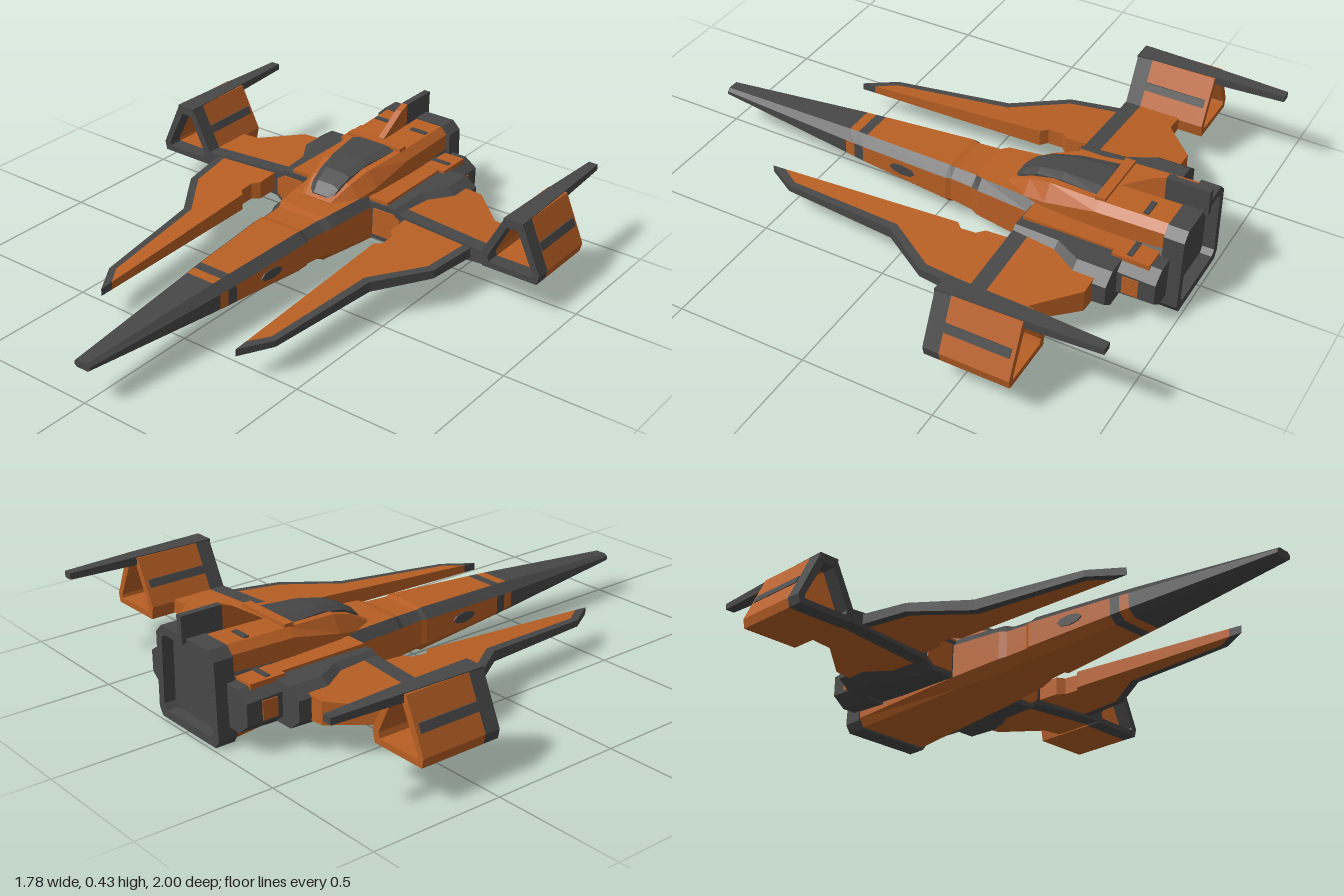
import * as THREE from 'three';

const mat = (name, hex) => new THREE.MeshStandardMaterial({ name, color: hex });

export function createModel() {
  const orange = mat('orange paint', 0xb85f24);
  const dark = mat('dark grey', 0x474747);
  const mats = [orange, dark];
  const root = new THREE.Group();

  const flat = (geo) => {
    const g = geo.index ? geo.toNonIndexed() : geo;
    g.computeVertexNormals();
    return g;
  };
  const add = (name, geo, material) => {
    const m = new THREE.Mesh(flat(geo), material);
    m.name = name;
    root.add(m);
  };
  // Adds a part and its mirror image across x = 0
  const addPair = (name, geo, material) => {
    const g = flat(geo);
    const r = g.clone();
    const p = r.attributes.position;
    for (let i = 0; i < p.count; i += 3) {
      const v = [0, 2, 1].map((k) => new THREE.Vector3().fromBufferAttribute(p, i + k));
      v.forEach((q, k) => p.setXYZ(i + k, -q.x, q.y, q.z));
    }
    add(name + 'Left', g, material);
    add(name + 'Right', r, material);
  };

  // Skin over convex rings listed front to back, each counterclockwise seen from +z
  const loft = (rings, pick = () => 0) => {
    const pos = [];
    const geo = new THREE.BufferGeometry();
    const n = rings[0].length;
    const put = (m, ...pts) => {
      geo.addGroup(pos.length / 3, pts.length, m);
      pts.forEach((q) => pos.push(...q));
    };
    for (let i = 0; i + 1 < rings.length; i++) {
      for (let j = 0; j < n; j++) {
        const k = (j + 1) % n;
        const [a, b, c, d] = [rings[i][j], rings[i][k], rings[i + 1][j], rings[i + 1][k]];
        put(pick(i, j), a, c, b, b, c, d);
      }
    }
    const f = rings[0], l = rings[rings.length - 1];
    for (let j = 1; j + 1 < n; j++) {
      put(pick(0, j), f[0], f[j], f[j + 1]);
      put(pick(rings.length - 2, j), l[0], l[j + 1], l[j]);
    }
    geo.setAttribute('position', new THREE.Float32BufferAttribute(pos, 3));
    return geo;
  };
  // Right half of a section, bottom to top, mirrored into a full ring
  const ring = (z, half) => [
    ...half.map(([x, y]) => [x, y, z]),
    ...half.slice().reverse().map(([x, y]) => [-x, y, z]),
  ];
  const shape = (pts) => new THREE.Shape(pts.map(([x, y]) => new THREE.Vector2(x, y)));
  // Outline in x,y pushed from z0 to z1
  const prism = (pts, z0, z1, hole) => {
    const s = shape(pts);
    if (hole) s.holes.push(new THREE.Path(hole.map(([x, y]) => new THREE.Vector2(x, y))));
    return new THREE.ExtrudeGeometry(s, { depth: z1 - z0, bevelEnabled: false }).translate(0, 0, z0);
  };
  // Plan outline in x,z with heights given by rules
  const slab = (pts, bottom, top) => {
    const g = new THREE.ExtrudeGeometry(shape(pts.map(([x, z]) => [x, -z])), { depth: 1, bevelEnabled: false });
    g.rotateX(-Math.PI / 2);
    const p = g.attributes.position;
    for (let i = 0; i < p.count; i++) {
      const x = p.getX(i), z = p.getZ(i);
      p.setY(i, p.getY(i) > 0.5 ? top(x, z) : bottom(x, z));
    }
    return g;
  };
  const box = (x0, x1, y0, y1, z0, z1) => new THREE.BoxGeometry(x1 - x0, y1 - y0, z1 - z0)
    .translate((x0 + x1) / 2, (y0 + y1) / 2, (z0 + z1) / 2);
  const line = (a, va, b, vb) => (t) => va + ((vb - va) * (t - a)) / (b - a);

  // Main hull: z, half widths (bottom, middle, top), heights (bottom to top)
  const hull = [
    [1, 0.025, 0.035, 0.022, 0.135, 0.143, 0.155, 0.165],
    [0.41, 0.065, 0.092, 0.06, 0.09, 0.115, 0.172, 0.205],
    [0.37, 0.067, 0.096, 0.062, 0.087, 0.113, 0.174, 0.207],
    [0.33, 0.07, 0.1, 0.065, 0.085, 0.11, 0.176, 0.209],
    [-0.04, 0.09, 0.125, 0.088, 0.06, 0.095, 0.19, 0.225],
    [-0.06, 0.085, 0.118, 0.085, 0.066, 0.095, 0.19, 0.22],
    [-0.15, 0.09, 0.126, 0.09, 0.06, 0.09, 0.19, 0.222],
    [-0.18, 0.1, 0.138, 0.105, 0.048, 0.085, 0.195, 0.23],
    [-0.4, 0.125, 0.16, 0.13, 0.037, 0.07, 0.2, 0.238],
    [-0.92, 0.155, 0.175, 0.14, 0.008, 0.04, 0.22, 0.28],
  ].map(([z, wb, wm, wt, yb, yl, yu, yt]) => ring(z, [[wb, yb], [wm, yl], [wm, yu], [wt, yt]]));
  add('hull', loft(hull, (i, j) => (i === 0 || i === 2 || j === 2 || j === 4 ? 1 : 0)), mats);

  // Raised deck around and behind the cockpit
  const deck = [
    [-0.27, 0.08, 0.06, 0.228, 0.236], [-0.36, 0.125, 0.085, 0.235, 0.285],
    [-0.45, 0.145, 0.105, 0.255, 0.315], [-0.65, 0.155, 0.125, 0.3, 0.33], [-0.92, 0.158, 0.13, 0.31, 0.338],
  ].map(([z, w, wt, ys, yt]) => ring(z, [[w, 0.19], [w, ys], [wt, yt]]));
  add('upperDeck', loft(deck), mats);
  const glass = [
    [-0.285, 0.05, 0.23, 0.248], [-0.32, 0.06, 0.25, 0.285], [-0.38, 0.068, 0.28, 0.314],
    [-0.48, 0.08, 0.3, 0.335], [-0.63, 0.1, 0.31, 0.34],
  ].map(([z, w, yb, yt]) => ring(z, [[w, yb - 0.02], [w, yt - 0.012], [w * 0.6, yt]]));
  add('canopy', loft(glass, () => 1), mats);
  add('canopyRearFrame', box(-0.125, 0.125, 0.31, 0.342, -0.67, -0.632), orange);

  // Oval hatch on each flank of the nose
  const hatch = new THREE.CylinderGeometry(0.5, 0.5, 0.008, 8);
  hatch.scale(0.04, 1, 0.11).rotateZ(Math.PI / 2).rotateY(-0.068).translate(0.113, 0.145, 0.15);
  addPair('flankHatch', hatch, dark);

  // Exhaust: dark collar with a recessed back
  const full = (half) => [...half, ...half.slice().reverse().map(([x, y]) => [-x, y])];
  add('exhaustCollar', prism(
    full([[0.16, 0], [0.18, 0.03], [0.172, 0.31], [0.14, 0.342]]), -0.985, -0.91,
    full([[0.13, 0.03], [0.148, 0.05], [0.14, 0.295], [0.12, 0.312]])), dark);
  add('exhaustPlate', prism(full([[0.15, 0.02], [0.15, 0.32]]), -0.94, -0.92), dark);

  // Tail fin
  const finPiece = (pts) => prism(pts, -0.013, 0.013).rotateY(Math.PI / 2);
  add('tailFinFront', finPiece([[0.66, 0.32], [0.84, 0.32], [0.84, 0.425], [0.8, 0.41]]), orange);
  add('tailFinRear', finPiece([[0.84, 0.325], [1, 0.325], [1, 0.425], [0.84, 0.425]]), dark);

  // Engine housings beside the hull
  const side = (z, x, yb, yt) => [
    [0.12, yb], [x - 0.05, yb], [x, yb + 0.04], [x, yt - 0.035], [x - 0.05, yt], [0.12, yt],
  ].map(([a, b]) => [a, b, z]);
  addPair('engineHousing', loft([
    side(-0.4, 0.31, 0.07, 0.22), side(-0.57, 0.32, 0.07, 0.225),
    side(-0.67, 0.375, 0.07, 0.225), side(-0.8, 0.375, 0.075, 0.225),
  ], () => 1), mats);
  addPair('engineRear', loft([side(-0.78, 0.285, 0.065, 0.23), side(-0.94, 0.285, 0.07, 0.225)], () => 1), mats);
  addPair('intakeFace', prism([[0.17, 0.09], [0.26, 0.09], [0.29, 0.115], [0.29, 0.18], [0.26, 0.2], [0.17, 0.2]], -0.4, -0.394), orange);
  addPair('engineTopPanel', box(0.14, 0.225, 0.2, 0.234, -0.76, -0.41), orange);
  addPair('engineRearTopPanel', box(0.14, 0.25, 0.2, 0.236, -0.9, -0.76), orange);
  addPair('engineStripe', box(0.15, 0.235, 0.235, 0.24, -0.83, -0.81), dark);
  addPair('deckStripe', box(0.05, 0.12, 0.335, 0.341, -0.83, -0.81), dark);
  addPair('engineSidePanel', box(0.284, 0.289, 0.115, 0.185, -0.88, -0.82), orange);

  // Main wings with a dark leading edge
  const wingTop = line(0.3, 0.205, 0.66, 0.18), wingBottom = line(0.3, 0.1, 0.66, 0.13);
  addPair('wing', slab([[0.25, -0.46], [0.66, -0.46], [0.66, -0.62], [0.57, -0.62], [0.43, -0.75], [0.25, -0.75]], wingBottom, wingTop), orange);
  addPair('wingLeadingEdge', slab([[0.25, -0.4], [0.66, -0.4], [0.66, -0.46], [0.25, -0.46]], wingBottom, wingTop), dark);

  // Forward blades with a dark outer edge
  const topLine = line(-0.4, 0.195, 0.59, 0.128), bottomLine = line(-0.4, 0.12, 0.59, 0.1);
  const bladeTop = (x, z) => topLine(z) - (x - 0.31) * 0.06;
  const bladeBottom = (x, z) => bottomLine(z) + (x - 0.31) * 0.06;
  const rim = [[0.57, -0.4], [0.545, -0.21], [0.408, -0.01], [0.36, 0.46], [0.31, 0.535]];
  const outer = [[0.31, 0.59], [0.385, 0.47], [0.438, 0], [0.575, -0.2], [0.602, -0.4]];
  const inner = [[0.31, -0.2], [0.335, -0.225], [0.335, -0.285], [0.31, -0.31], [0.31, -0.4]];
  addPair('blade', slab([...rim, ...inner], bladeBottom, bladeTop), orange);
  addPair('bladeEdge', slab([...rim, ...outer], bladeBottom, bladeTop), dark);

  // Wingtip pods: open trapezoid tubes
  const podOuter = [[0.655, 0.125], [0.882, 0.125], [0.89, 0.16], [0.808, 0.345], [0.732, 0.345], [0.645, 0.175]];
  const podHole = [[0.68, 0.148], [0.86, 0.148], [0.864, 0.16], [0.79, 0.312], [0.745, 0.312], [0.674, 0.168]];
  addPair('podFront', prism(podOuter, -0.46, -0.4, podHole), dark);
  addPair('podBody', prism(podOuter, -0.715, -0.46, podHole), orange);

  // Dark stripes on the pod's sloping walls
  const stripe = (a, b, t0, t1, out) => {
    const at = (t, o) => [a[0] + (b[0] - a[0]) * t + o, a[1] + (b[1] - a[1]) * t];
    return prism([at(t0, 0), at(t0, out), at(t1, out), at(t1, 0)], -0.7, -0.46);
  };
  addPair('podOuterStripe', stripe(podOuter[2], podOuter[3], 0.38, 0.54, 0.004), dark);
  addPair('podInnerStripe', stripe(podOuter[5], podOuter[4], 0.38, 0.54, -0.004), dark);

  // Long beam along the top of each pod
  const beam = (z, x0, x1, y0, y1) => [[x0, y0, z], [x1, y0, z], [x1, y1, z], [x0, y1, z]];
  addPair('podBeam', loft([
    beam(-0.398, 0.73, 0.81, 0.316, 0.348), beam(-0.7, 0.738, 0.8, 0.316, 0.348), beam(-0.985, 0.75, 0.787, 0.322, 0.346),
  ], () => 1), mats);

  return root;
}
